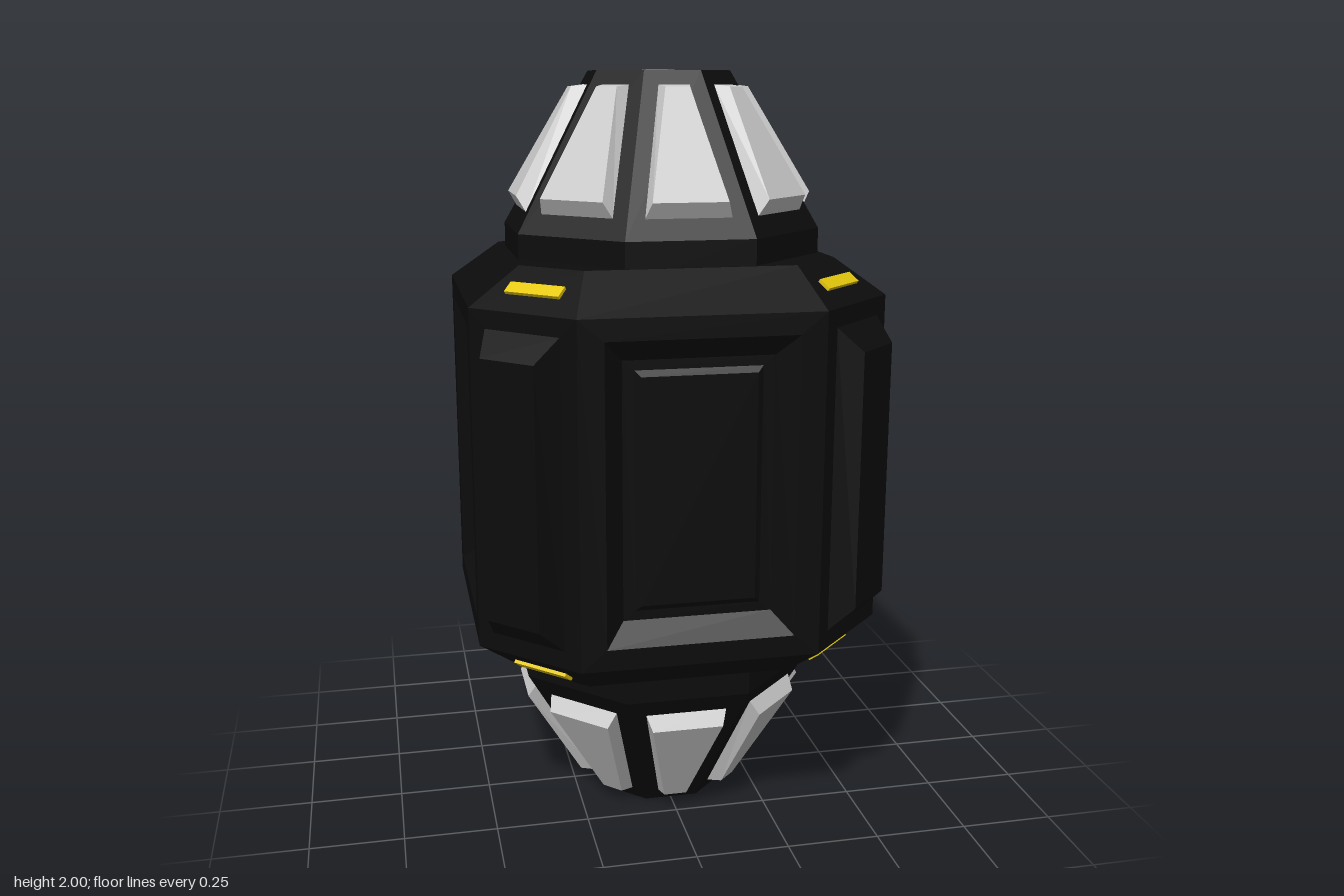
import * as THREE from 'three';

const black = new THREE.MeshStandardMaterial({ color: 0x0c0c0c, flatShading: true });
const grey = new THREE.MeshStandardMaterial({ color: 0xcccccc, flatShading: true });
const yellow = new THREE.MeshStandardMaterial({ color: 0xe6c80a, flatShading: true });

// Stepped panel facing +z: each loop is a trapezoid [yLow, zLow, halfLow, yHigh, zHigh, halfHigh].
// Neighbouring loops are joined by a band and the last one is filled.
function steppedPanel(loops) {
  const rings = loops.map(([y0, z0, w0, y1, z1, w1]) =>
    [[-w0, y0, z0], [w0, y0, z0], [w1, y1, z1], [-w1, y1, z1]]);
  const pos = [];
  const quad = (a, b, c, d) => pos.push(...a, ...b, ...c, ...a, ...c, ...d);
  for (let k = 0; k + 1 < rings.length; k++) {
    const a = rings[k], b = rings[k + 1];
    for (let i = 0; i < 4; i++) {
      const j = (i + 1) % 4;
      quad(a[i], a[j], b[j], b[i]);
    }
  }
  quad(...rings[rings.length - 1]);
  const geo = new THREE.BufferGeometry();
  geo.setAttribute('position', new THREE.Float32BufferAttribute(pos, 3));
  geo.computeVertexNormals();
  return geo;
}

// Upright rectangle loop centred on mid height
const rect = (halfHeight, z, w) => [1 - halfHeight, z, w, 1 + halfHeight, z, w];

function add(parent, name, geo, mat, turn = 0) {
  const mesh = new THREE.Mesh(geo, mat);
  mesh.name = name;
  mesh.rotation.y = turn;
  parent.add(mesh);
  return mesh;
}

// Regular octagonal drum with flats on the axes, sized by flat distance
function octagon(topFlat, bottomFlat, y0, y1) {
  const k = Math.cos(Math.PI / 8);
  return new THREE.CylinderGeometry(topFlat / k, bottomFlat / k, y1 - y0, 8, 1, false, Math.PI / 8)
    .translate(0, (y0 + y1) / 2, 0);
}

function createEnd() {
  const end = new THREE.Group();

  // Sloping shoulder, with a marker strip on each corner
  const sideSlope = steppedPanel([[1.44, 0.535, 0.305, 1.535, 0.405, 0.265]]);
  const cornerSlope = steppedPanel([[1.44, 0.594, 0.163, 1.535, 0.474, 0.099]]);
  const strip = steppedPanel([
    [1.475, 0.55, 0.082, 1.496, 0.523, 0.082],
    [1.482, 0.555, 0.082, 1.503, 0.528, 0.082],
  ]);
  for (let i = 0; i < 4; i++) {
    const side = i * Math.PI / 2, corner = side + Math.PI / 4;
    add(end, 'shoulderSide', sideSlope, black, side);
    add(end, 'shoulderCorner', cornerSlope, black, corner);
    add(end, 'markerStrip', strip, yellow, corner);
  }

  // Flat lid inside the shoulder
  const a = 0.405, b = 0.265;
  const outline = [[a, b], [b, a], [-b, a], [-a, b], [-a, -b], [-b, -a], [b, -a], [a, -b]];
  const lid = new THREE.ShapeGeometry(new THREE.Shape(outline.map(p => new THREE.Vector2(...p))));
  add(end, 'shoulderLid', lid.rotateX(-Math.PI / 2).translate(0, 1.535, 0), black);

  // Collar, tapered nose and centre light
  add(end, 'collar', octagon(0.395, 0.395, 1.5, 1.6), black);
  add(end, 'nose', octagon(0.175, 0.395, 1.6, 2), black);
  add(end, 'centreLight', octagon(0.04, 0.04, 1.98, 2.002), yellow);

  // Eight raised plates around the nose
  const plate = steppedPanel([
    [1.65, 0.367, 0.109, 1.965, 0.194, 0.04],
    [1.69, 0.39, 0.095, 1.96, 0.235, 0.031],
  ]);
  for (let i = 0; i < 8; i++) add(end, 'nosePlate', plate, grey, i * Math.PI / 4);
  return end;
}

export function createModel() {
  const model = new THREE.Group();
  model.name = 'canister';

  // Body walls: recessed panels on the sides, raised pads on the corners
  const body = new THREE.Group();
  body.name = 'body';
  const sideWall = steppedPanel([
    rect(0.44, 0.535, 0.305), rect(0.385, 0.535, 0.24), rect(0.33, 0.485, 0.19),
    rect(0.305, 0.485, 0.16), rect(0.29, 0.497, 0.145),
  ]);
  const cornerWall = steppedPanel([
    rect(0.44, 0.594, 0.163), rect(0.393, 0.594, 0.113), rect(0.333, 0.654, 0.081),
  ]);
  for (let i = 0; i < 4; i++) {
    add(body, 'sideWall', sideWall, black, i * Math.PI / 2);
    add(body, 'cornerWall', cornerWall, black, (i + 0.5) * Math.PI / 2);
  }
  model.add(body);

  // Matching ends, the lower one turned over
  const top = createEnd();
  top.name = 'topEnd';
  const bottom = createEnd();
  bottom.name = 'bottomEnd';
  bottom.rotation.x = Math.PI;
  bottom.position.y = 2;
  model.add(top, bottom);
  return model;
}
